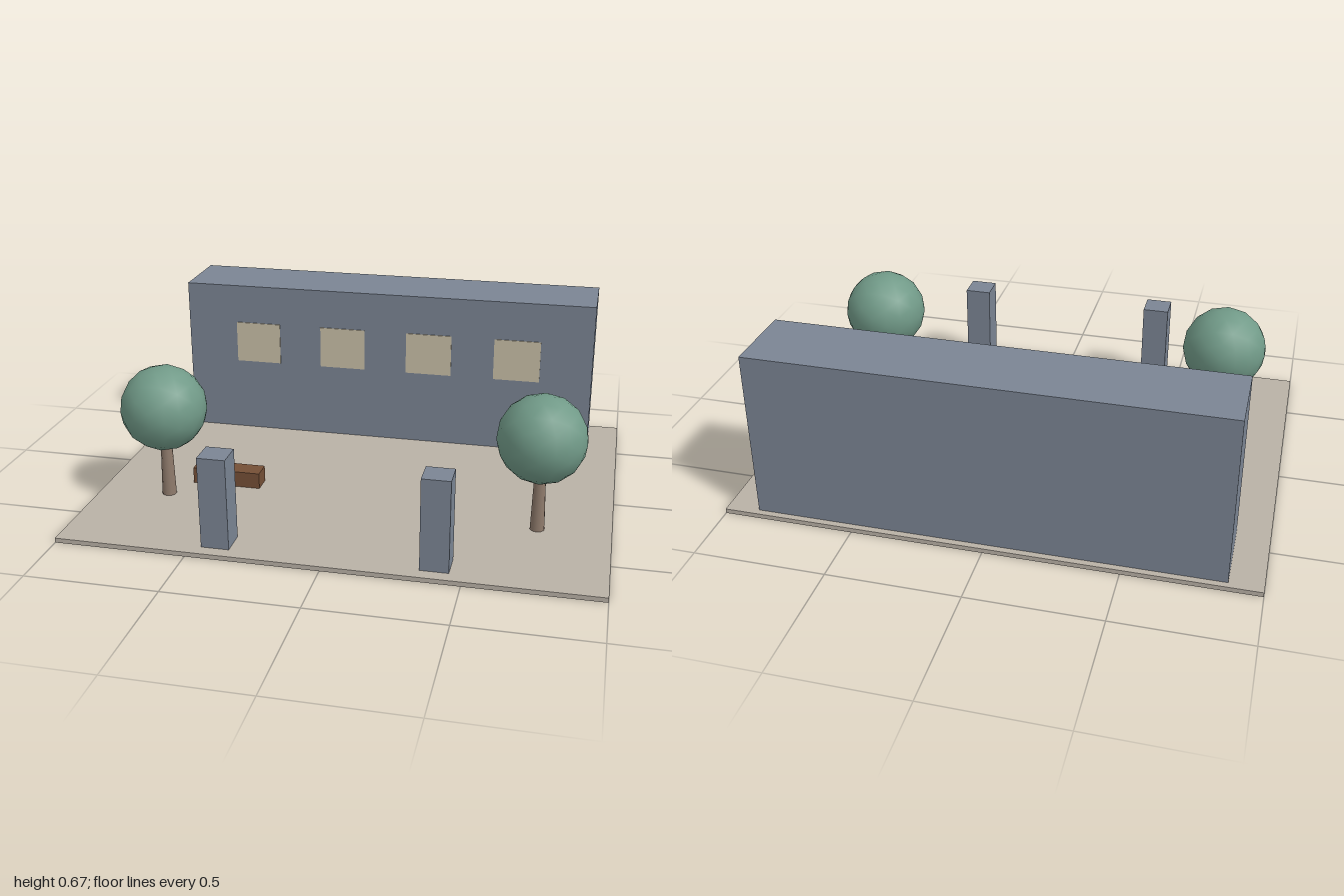
import * as THREE from 'three';

export function createModel() {
  const root = new THREE.Group();
  root.name = 'courtyard';

  const mat = (name, color) => {
    const m = new THREE.MeshStandardMaterial({ color });
    m.name = name;
    return m;
  };
  const paving = mat('paving', 0xb9b1a6);
  const wall = mat('wall', 0x7b8594);
  const glass = mat('windowGlow', 0xcac0a8);
  const wood = mat('benchWood', 0x754f36);
  const bark = mat('bark', 0x8f7b6c);
  const leaves = mat('leaves', 0x719a88);

  const add = (name, geometry, material, x, y, z, parent = root) => {
    const mesh = new THREE.Mesh(geometry, material);
    mesh.name = name;
    mesh.position.set(x, y, z);
    parent.add(mesh);
    return mesh;
  };
  // Box standing on height y
  const box = (name, material, w, h, d, x, y, z) =>
    add(name, new THREE.BoxGeometry(w, h, d), material, x, y + h / 2, z);

  const floor = 0.018;
  box('ground', paving, 2, floor, 1.5, 0, 0, 0);

  // Long building with a row of windows on its front
  box('building', wall, 1.75, 0.652, 0.3, 0, floor, -0.575);
  for (let i = 0; i < 4; i++) {
    box('window', glass, 0.194, 0.176, 0.006, (i - 1.5) * 0.375, 0.33, -0.424);
  }

  // Gate pillars
  for (const side of [-1, 1]) {
    box('pillar', wall, 0.105, 0.352, 0.105, side * 0.4, floor, 0.648);
  }

  box('bench', wood, 0.275, 0.064, 0.08, -0.525, floor, 0.15);

  // Trees: tapered trunk with a round crown
  for (const side of [-1, 1]) {
    const tree = new THREE.Group();
    tree.name = 'tree';
    tree.position.set(side * 0.725, floor, 0.3);
    add('trunk', new THREE.CylinderGeometry(0.021, 0.028, 0.25, 10), bark, 0, 0.125, 0, tree);
    add('crown', new THREE.IcosahedronGeometry(0.167, 2), leaves, 0, 0.365, 0, tree);
    root.add(tree);
  }

  return root;
}
